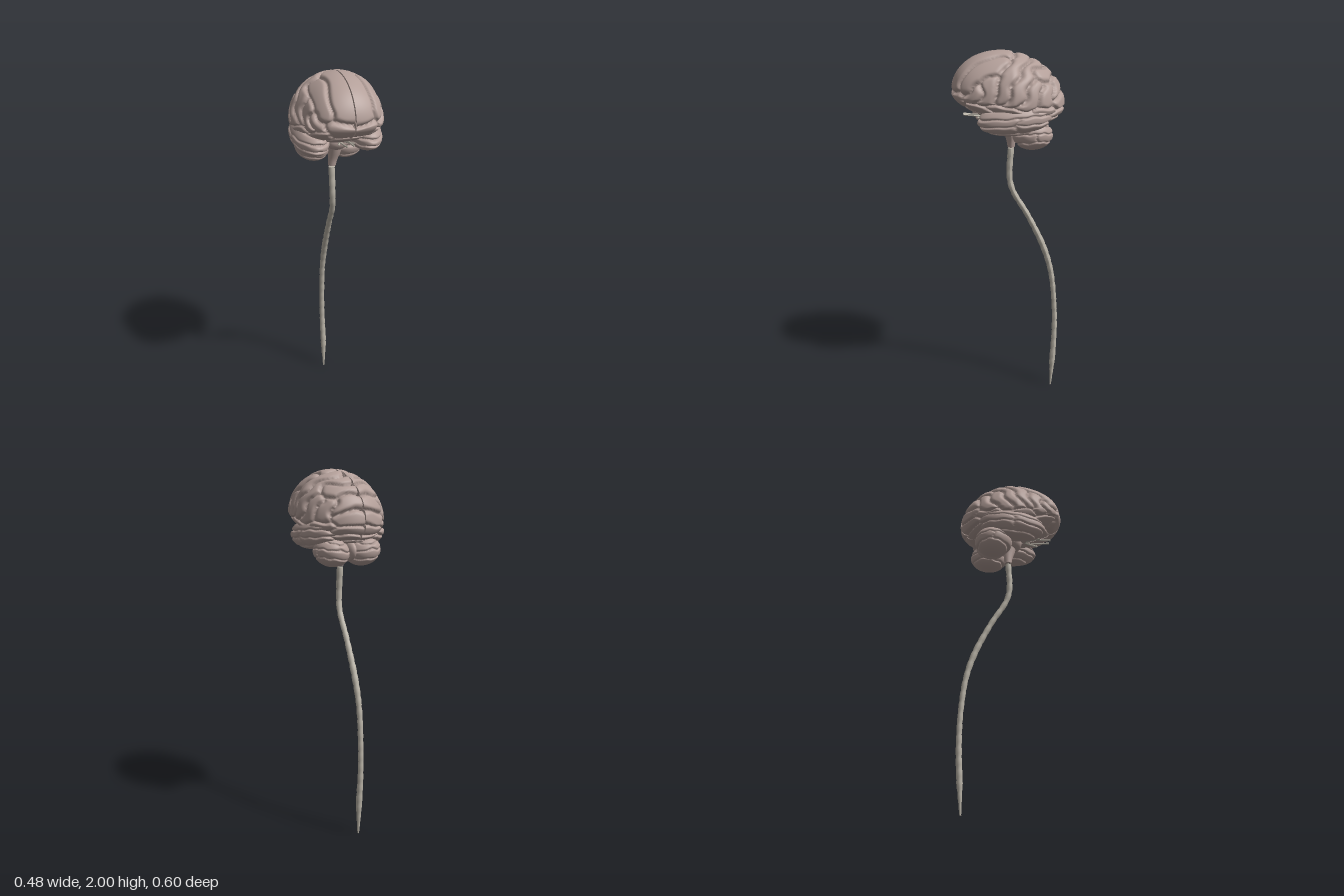
import * as THREE from 'three';
import { mergeVertices } from 'three/addons/utils/BufferGeometryUtils.js';

const tissue = new THREE.MeshStandardMaterial({ color: 0xb39f99 });
const nerve = new THREE.MeshStandardMaterial({ color: 0xb8b2a6 });

// Ridge lines as [z, y] points on the side of a unit sphere; x follows from them.
const frontalRidges = [
  [[0.95, 0.25], [0.8, 0.58], [0.5, 0.85], [0.05, 0.985]],
  [[0.76, 0.25], [0.55, 0.55], [0.12, 0.8]],
  [[0.74, -0.08], [0.62, 0.12]],
  [[0.5, -0.12], [0.42, 0.2], [0.36, 0.36]],
  [[0.95, -0.1], [0.88, -0.4]],
  [[0.7, -0.45], [0.4, -0.55]],
  [[0.6, -0.78], [0.2, -0.95]],
];
const parietalRidges = [
  [[-0.3, 0.94], [-0.08, 0.75], [0.05, 0.5], [0.22, 0.1]],
  [[-0.5, 0.86], [-0.24, 0.62], [-0.12, 0.35], [0.02, -0.02]],
  [[-0.42, 0.4], [-0.32, 0.1], [-0.2, -0.08]],
  [[-0.7, 0.7], [-0.48, 0.66]],
  [[-0.66, 0.36], [-0.55, 0.05]],
];
const occipitalRidges = [
  [[-0.86, 0.48], [-0.8, 0.3]],
  [[-0.97, 0.15], [-0.85, 0.0]],
  [[-0.68, -0.15], [-0.45, -0.25]],
  [[-0.96, -0.22], [-0.82, -0.3]],
  [[-0.8, -0.56], [-0.5, -0.6]],
  [[0.3, -0.3], [-0.2, -0.4]],
  [[-0.1, -0.97], [-0.6, -0.78]],
];
const temporalRidges = [
  [[0.85, 0.4], [0.2, 0.42], [-0.85, 0.4]],
  [[0.93, -0.02], [0.5, 0.0], [0.1, 0.02]],
  [[-0.2, 0.0], [-0.9, -0.05]],
  [[0.8, -0.5], [0.15, -0.48]],
  [[-0.15, -0.45], [-0.8, -0.5]],
  [[0.5, -0.85], [-0.6, -0.78]],
  [[0.5, 0.85], [-0.6, 0.78]],
];
const cerebellumRidges = [
  [[0.5, 0.8], [-0.6, 0.75]],
  [[0.7, 0.3], [0.0, 0.4], [-0.85, 0.3]],
  [[0.8, -0.2], [0.1, -0.15]],
  [[-0.3, -0.1], [-0.95, -0.15]],
  [[0.4, -0.75], [-0.2, -0.65], [-0.65, -0.7]],
];

function sampleRidge(ridge) {
  const pts = ridge.map(([z, y]) =>
    new THREE.Vector3(Math.sqrt(Math.max(0.005, 1 - z * z - y * y)), y, z).normalize());
  return new THREE.CatmullRomCurve3(pts).getPoints(36).map((p) => p.normalize());
}

// Sphere swollen along its ridges and creased midway between neighbouring ones.
function foldedGeometry(ridges, detail, depth, width, side, place) {
  const lines = ridges.map(sampleRidge);
  let geo = new THREE.IcosahedronGeometry(1, detail);
  geo.deleteAttribute('uv');
  geo.deleteAttribute('normal');
  geo = mergeVertices(geo, 1e-4);
  const pos = geo.attributes.position;
  const v = new THREE.Vector3(), q = new THREE.Vector3();
  for (let i = 0; i < pos.count; i++) {
    v.fromBufferAttribute(pos, i).normalize();
    q.set(Math.abs(v.x) + 0.03 * Math.sin(13 * v.y + 5 * v.z),
      v.y + 0.035 * Math.sin(12 * v.z + 4 * v.x + side),
      v.z + 0.035 * Math.sin(11 * v.y - 7 * v.x + side));
    let near = 9, next = 9;
    for (const line of lines) {
      let d = 9;
      for (const p of line) d = Math.min(d, p.distanceToSquared(q));
      d = Math.sqrt(d);
      if (d < near) { next = near; near = d; } else if (d < next) next = d;
    }
    const t = 1 - Math.min((next - near) / width, 1);
    const dip = depth * (1 - Math.sqrt(1 - t * t));
    place(v, dip);
    pos.setXYZ(i, v.x * side, v.y, v.z);
  }
  if (side < 0) {
    const idx = geo.index.array;
    for (let i = 0; i < idx.length; i += 3) [idx[i], idx[i + 1]] = [idx[i + 1], idx[i]];
  }
  geo.computeVertexNormals();
  return geo;
}

// Cerebral half: dome with a flat wall at the midline, squarer at the forehead, sloping to the back.
function placeHemisphere(v, dip) {
  const { x, y, z } = v, s = 1 - dip;
  const rx = z > 0 ? 0.242 * (1 - 0.4 * z + 0.66 * z * z) : 0.242;
  const ry = y > 0 ? 0.245 : 0.13 - 0.025 * z;
  v.set(x > 0 ? Math.max(rx * x * s, 0.003) : 0.003 + dip * 0.1,
    1.755 + 0.035 * z + ry * y * s, 0.302 * z * s);
}

function placeTemporal(v, dip) {
  const s = 1 - dip;
  v.set(0.145 + 0.095 * v.x * s, 1.664 + 0.084 * v.y * s - 0.012 * v.z, -0.015 + 0.195 * v.z * s);
}

// Cerebellar half: outer edge lifted, inner edge hanging lower.
function placeCerebellum(v, dip) {
  const s = 1 - dip, x = v.x;
  v.set(0.098 + 0.095 * x * s, 1.571 + 0.081 * v.y * s + 0.01 * x, -0.118 + 0.108 * v.z * s);
}

// Tube along points [x, y, z, radius], with an optional notch every fourth ring.
function taperedTube(rows, segments, sides, notch = 0) {
  const curve = new THREE.CatmullRomCurve3(rows.map(([x, y, z]) => new THREE.Vector3(x, y, z)));
  const geo = new THREE.TubeGeometry(curve, segments, 1, sides);
  const pos = geo.attributes.position, c = new THREE.Vector3(), v = new THREE.Vector3();
  for (let i = 0; i <= segments; i++) {
    curve.getPointAt(i / segments, c);
    let k = 0;
    while (k < rows.length - 2 && rows[k + 1][1] > c.y) k++;
    const a = rows[k], b = rows[k + 1];
    const f = THREE.MathUtils.clamp((a[1] - c.y) / (a[1] - b[1]), 0, 1);
    const r = THREE.MathUtils.lerp(a[3], b[3], f) * (1 - (i % 4 === 0 ? notch : 0));
    for (let j = 0; j <= sides; j++) {
      const n = i * (sides + 1) + j;
      v.fromBufferAttribute(pos, n).sub(c).multiplyScalar(r).add(c);
      pos.setXYZ(n, v.x, v.y, v.z);
    }
  }
  geo.computeVertexNormals();
  return geo;
}

export function createModel() {
  const root = new THREE.Group();
  const add = (name, geo, mat, parent = root) => {
    const mesh = new THREE.Mesh(geo, mat);
    mesh.name = name;
    parent.add(mesh);
    return mesh;
  };
  const ball = (name, p, r, mat) => {
    const m = add(name, new THREE.SphereGeometry(1, 20, 14), mat);
    m.position.set(...p);
    m.scale.set(...r);
  };

  // Paired lobes and nerves
  const cerebrumRidges = [...frontalRidges, ...parietalRidges, ...occipitalRidges];
  for (const side of [1, -1]) {
    const half = new THREE.Group();
    half.name = side > 0 ? 'leftHalf' : 'rightHalf';
    root.add(half);
    add('hemisphere', foldedGeometry(cerebrumRidges, 39, 0.13, 0.18, side, placeHemisphere), tissue, half);
    add('temporalLobe', foldedGeometry(temporalRidges, 23, 0.16, 0.25, side, placeTemporal), tissue, half);
    add('cerebellum', foldedGeometry(cerebellumRidges, 21, 0.16, 0.22, side, placeCerebellum), tissue, half);
    add('olfactoryTract', taperedTube([[side * 0.018, 1.672, 0.24, 0.006],
      [side * 0.02, 1.666, 0.19, 0.004], [side * 0.025, 1.662, 0.1, 0.004]], 12, 6), nerve, half);
    add('opticNerve', taperedTube([[side * 0.045, 1.658, 0.17, 0.006],
      [side * 0.012, 1.653, 0.1, 0.006], [-side * 0.035, 1.648, 0.05, 0.006]], 12, 6), nerve, half);
  }

  // Midline parts between and under the halves
  ball('corpusCallosum', [0, 1.78, 0], [0.02, 0.07, 0.17], tissue);
  ball('midbrain', [0, 1.69, 0], [0.055, 0.06, 0.07], tissue);
  ball('pons', [0, 1.63, 0.015], [0.062, 0.048, 0.05], tissue);
  ball('vermis', [0, 1.575, -0.12], [0.03, 0.06, 0.085], tissue);
  add('medulla', taperedTube([[0, 1.63, 0, 0.04], [-0.004, 1.57, -0.01, 0.034],
    [-0.012, 1.52, -0.017, 0.025], [-0.016, 1.484, -0.018, 0.02]], 12, 14), tissue);
  ball('medullaEnd', [-0.016, 1.485, -0.018], [0.02, 0.004, 0.02], tissue);

  // Spinal cord
  add('spinalCord', taperedTube([
    [-0.018, 1.475, -0.017, 0.018], [-0.016, 1.31, -0.01, 0.017], [-0.01, 1.235, -0.028, 0.016],
    [-0.004, 1.09, -0.112, 0.016], [0, 0.9, -0.202, 0.018], [0, 0.75, -0.247, 0.016],
    [0.002, 0.545, -0.271, 0.015], [0.004, 0.36, -0.275, 0.016], [0.007, 0.18, -0.266, 0.018],
    [0.006, 0.1, -0.262, 0.012], [0.005, 0.003, -0.257, 0.005],
  ], 100, 12, 0.12), nerve);
  ball('cordTop', [-0.018, 1.475, -0.017], [0.018, 0.004, 0.018], nerve);
  ball('cordTip', [0.005, 0.005, -0.257], [0.005, 0.005, 0.005], nerve);
  return root;
}
